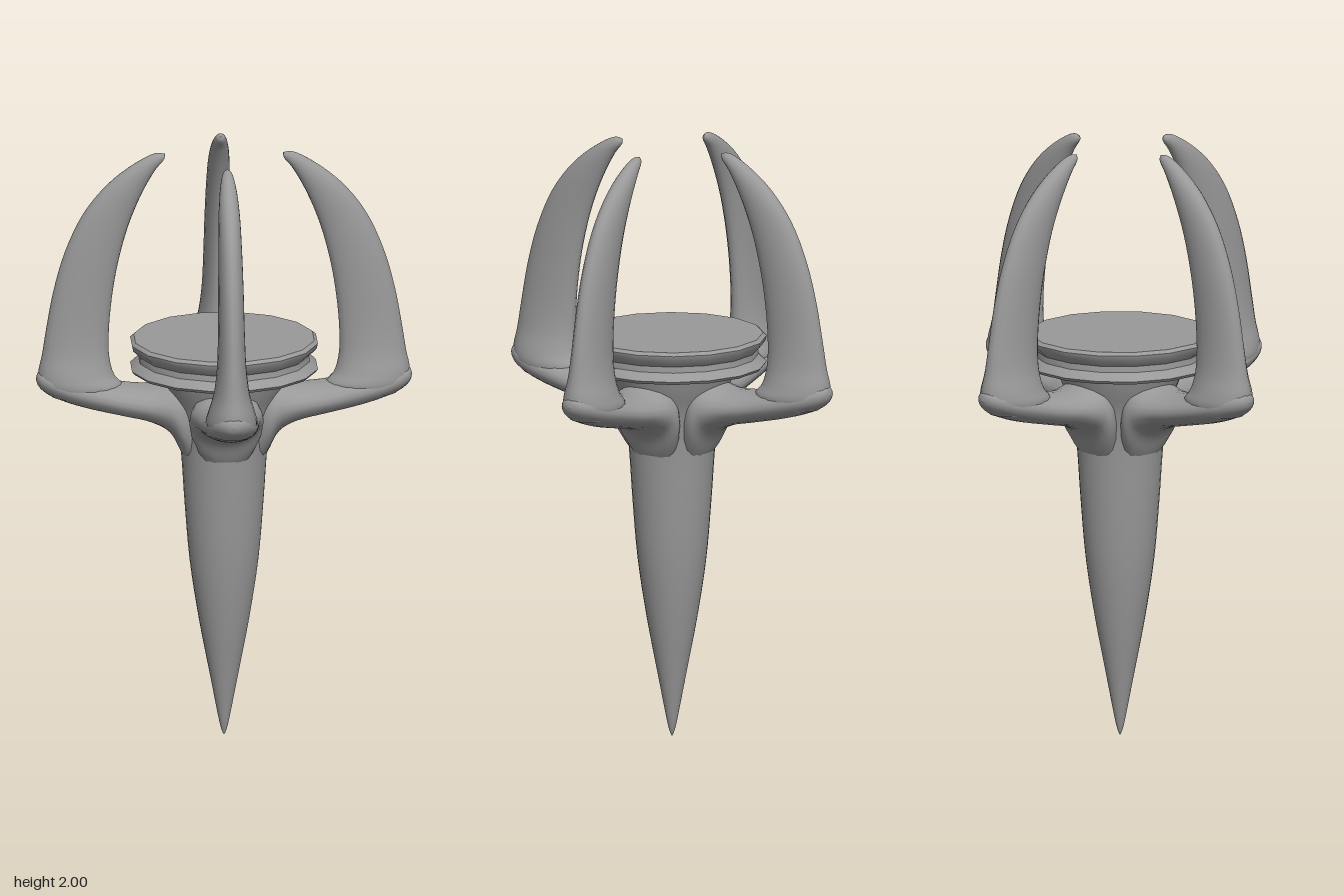
import * as THREE from 'three';
import { toCreasedNormals } from 'three/addons/utils/BufferGeometryUtils.js';

// Smooth skin over elliptical sections: [ax, ay, bx, by, halfWidth],
// where a and b are opposite ends of the section in the xy plane.
function loft(sections, steps = 4, sides = 20) {
  const curve = (i) => new THREE.CatmullRomCurve3(
    sections.map((s) => new THREE.Vector3(s[i], s[i + 1], s[4])), false, 'centripetal');
  const sample = (c, k) => c.getPoint(k / ((sections.length - 1) * steps));
  const ca = curve(0), cb = curve(2);
  const rings = (sections.length - 1) * steps;
  const pos = [], idx = [];
  for (let i = 0; i <= rings; i++) {
    const a = sample(ca, i), b = sample(cb, i);
    const w = Math.max(0, (a.z + b.z) / 2);
    for (let j = 0; j < sides; j++) {
      const t = (j / sides) * Math.PI * 2, c = Math.cos(t) / 2;
      pos.push((a.x + b.x) / 2 + (a.x - b.x) * c, (a.y + b.y) / 2 + (a.y - b.y) * c, w * Math.sin(t));
      if (i < rings) {
        const p = i * sides + j, q = i * sides + (j + 1) % sides;
        idx.push(p, q, q + sides, p, q + sides, p + sides);
      }
    }
  }
  const g = new THREE.BufferGeometry();
  g.setAttribute('position', new THREE.Float32BufferAttribute(pos, 3));
  g.setIndex(idx);
  g.computeVertexNormals();
  return g;
}

const points = (list) => list.map(([r, y]) => new THREE.Vector2(r, y));

export function createModel() {
  const group = new THREE.Group();
  const grey = new THREE.MeshStandardMaterial({ color: 0x999999 });
  grey.name = 'grey';
  const add = (name, geometry, parent = group) => {
    const mesh = new THREE.Mesh(geometry, grey);
    mesh.name = name;
    parent.add(mesh);
    return mesh;
  };

  // Tapering spike that flares out under the disc
  const profile = new THREE.SplineCurve(points([
    [0, 0], [0.014, 0.04], [0.045, 0.2], [0.083, 0.4], [0.113, 0.6], [0.13, 0.8],
    [0.14, 0.95], [0.15, 1.05], [0.168, 1.13], [0.195, 1.2], [0.215, 1.26],
  ])).getPoints(40);
  profile[0].x = 0;
  add('spike', new THREE.LatheGeometry(profile, 32));

  // Sixteen-sided disc with a grooved rim
  add('disc', toCreasedNormals(new THREE.LatheGeometry(points([
    [0, 1.25], [0.23, 1.25], [0.305, 1.255], [0.312, 1.265], [0.285, 1.29], [0.283, 1.31],
    [0.308, 1.335], [0.312, 1.352], [0.3, 1.362], [0, 1.362],
  ]), 16, Math.PI / 16), 0.65));

  // Horizontal arm with a filleted root and rounded end
  const arm = loft([
    [0.08, 1.24, 0.08, 0.88, 0.08],
    [0.14, 1.235, 0.14, 0.97, 0.12],
    [0.18, 1.22, 0.18, 1.045, 0.12],
    [0.24, 1.205, 0.24, 1.08, 0.108],
    [0.33, 1.21, 0.33, 1.102, 0.098],
    [0.45, 1.235, 0.45, 1.13, 0.09],
    [0.53, 1.25, 0.53, 1.155, 0.077],
    [0.585, 1.26, 0.585, 1.18, 0.054],
    [0.612, 1.25, 0.612, 1.205, 0.028],
    [0.62, 1.228, 0.62, 1.228, 0],
  ]);

  // Upright claw curving inwards to its point
  const claw = loft([
    [0.35, 1.17, 0.57, 1.17, 0.075],
    [0.335, 1.205, 0.608, 1.21, 0.085],
    [0.362, 1.24, 0.612, 1.25, 0.077],
    [0.378, 1.3, 0.6, 1.31, 0.06],
    [0.38, 1.38, 0.586, 1.4, 0.049],
    [0.37, 1.5, 0.562, 1.53, 0.044],
    [0.35, 1.62, 0.525, 1.66, 0.042],
    [0.315, 1.75, 0.465, 1.79, 0.039],
    [0.27, 1.86, 0.385, 1.89, 0.035],
    [0.225, 1.94, 0.295, 1.96, 0.026],
    [0.197, 1.975, 0.225, 1.995, 0.014],
    [0.195, 1.993, 0.195, 1.993, 0],
  ]);

  // Four identical prongs around the spike
  ['left', 'back', 'right', 'front'].forEach((side, i) => {
    const prong = new THREE.Group();
    prong.name = side + 'Prong';
    prong.rotation.y = (i * Math.PI) / 2;
    add(side + 'Arm', arm, prong);
    add(side + 'Claw', claw, prong);
    group.add(prong);
  });
  return group;
}
